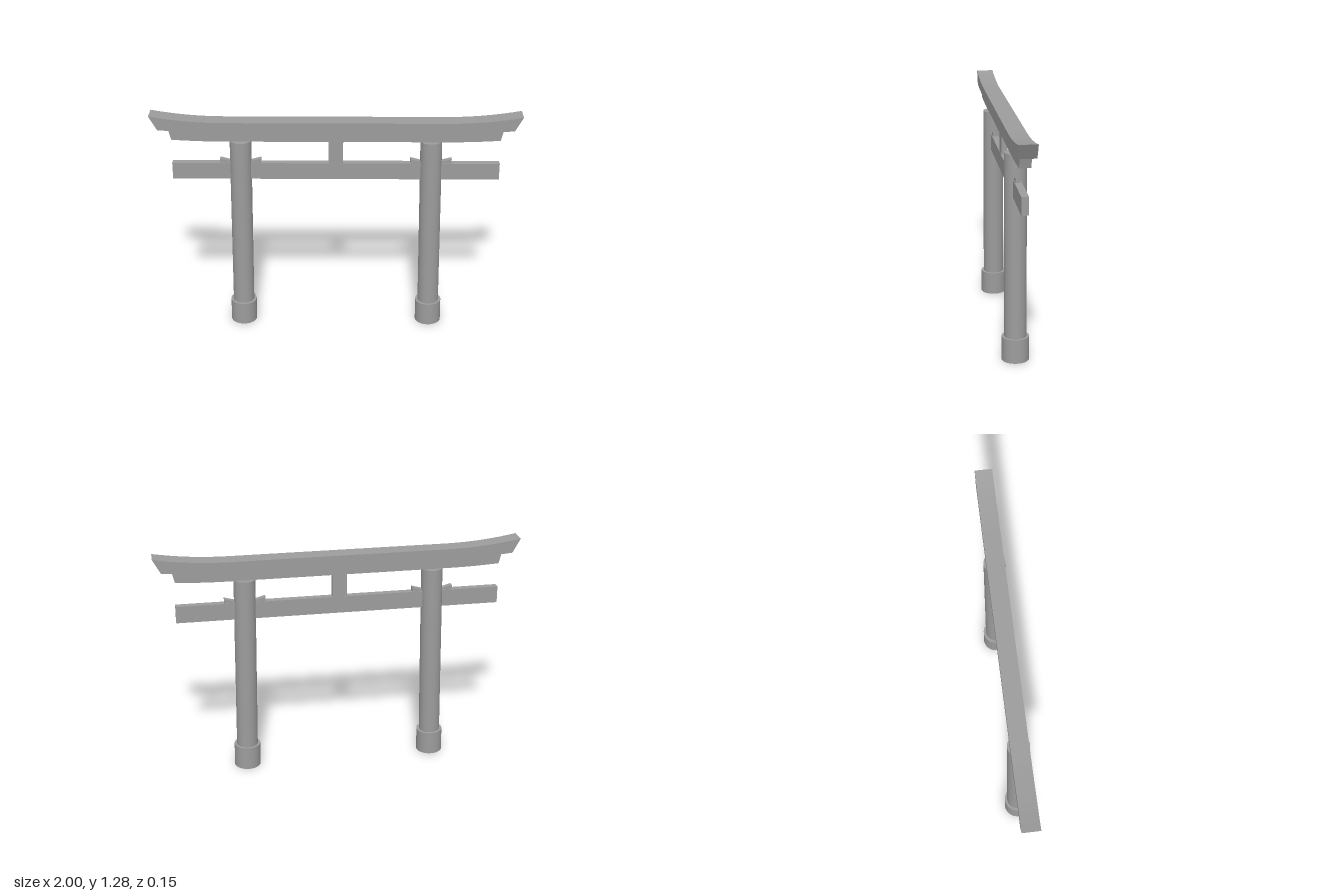
import * as THREE from 'three';

const material = new THREE.MeshStandardMaterial({ color: 0x9c9c9c });

function part(name, geometry, x = 0, y = 0, z = 0) {
  const mesh = new THREE.Mesh(geometry, material);
  mesh.name = name;
  mesh.position.set(x, y, z);
  return mesh;
}

// Side profile in the x-y plane, extruded evenly about z = 0
function slab(points, depth) {
  const shape = new THREE.Shape(points.map(([x, y]) => new THREE.Vector2(x, y)));
  const geometry = new THREE.ExtrudeGeometry(shape, { depth, bevelEnabled: false });
  return geometry.translate(0, 0, -depth / 2);
}

// Edge that is flat in the middle and sweeps up towards both ends
function sweptEdge(halfLength, y, lift, flat = 0.6, steps = 8) {
  const right = [];
  for (let i = 0; i <= steps; i++) {
    const t = i / steps;
    right.push([flat + (halfLength - flat) * t, y + lift * t * t]);
  }
  const left = right.map(([x, h]) => [-x, h]).reverse();
  return [...left, ...right];
}

// Beam with upswept ends, cut on a slant
function sweptBeam(bottom, top, depth) {
  return slab([...bottom, ...top.reverse()], depth);
}

export function createModel() {
  const model = new THREE.Group();
  model.name = 'gate';

  // Roof beam and the narrower lintel beneath it
  model.add(part('roofBeam', sweptBeam(
    sweptEdge(0.957, 1.187, 0.015), sweptEdge(1.0, 1.244, 0.037), 0.096)));
  model.add(part('upperLintel', sweptBeam(
    sweptEdge(0.887, 1.129, 0.01), sweptEdge(0.902, 1.188, 0.011), 0.06)));

  // Straight tie beam and the central strut
  model.add(part('tieBeam', new THREE.BoxGeometry(1.784, 0.094, 0.038), 0, 0.95));
  model.add(part('centerStrut', new THREE.BoxGeometry(0.08, 0.138, 0.034), 0, 1.063));

  for (const side of [-1, 1]) {
    const name = side > 0 ? 'left' : 'right';

    // Post and base sleeve, leaning slightly inwards
    const post = new THREE.Group();
    post.name = name + 'Post';
    post.position.x = side * 0.533;
    post.rotation.z = side * 0.0148;
    post.add(part('column', new THREE.CylinderGeometry(0.059, 0.059, 1.066, 40), 0, 0.595));
    post.add(part('baseSleeve', new THREE.CylinderGeometry(0.073, 0.073, 0.132, 40), 0, 0.067));
    model.add(post);

    // Wedges driven in on both sides of the post
    for (const dir of [-1, 1]) {
      const points = [[0.03, 0.992], [0.112, 0.992], [0.112, 1.022], [0.03, 1.0]]
        .map(([x, y]) => [dir * x, y]);
      model.add(part(name + 'Wedge', slab(points, 0.03), side * 0.518));
    }
  }
  return model;
}
